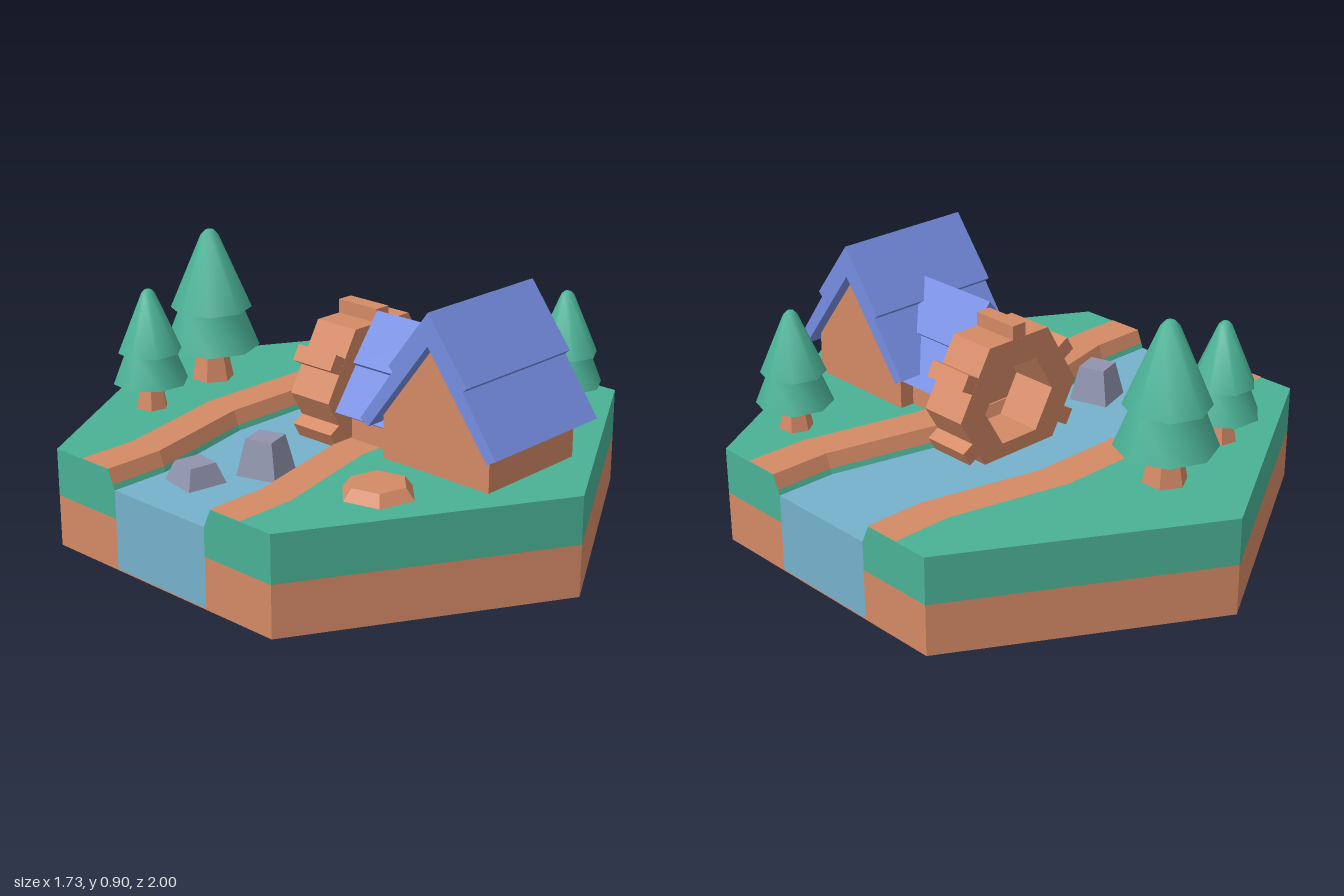
import * as THREE from 'three';
import { toCreasedNormals } from 'three/addons/utils/BufferGeometryUtils.js';

const material = (name, color, side = THREE.FrontSide) => {
  const m = new THREE.MeshStandardMaterial({ color, side });
  m.name = name;
  return m;
};

const GROUND = 0.345, WATER = 0.28, SOIL = 0.18;
const RIVER_X = [-0.866, -0.65, -0.22, 0.22, 0.65, 0.866];
// The river swings towards the back in the middle of the tile
const bend = (x) => (Math.abs(x) < 0.3 ? -0.1 : 0);
const riverEdge = (offset) => RIVER_X.map((x) => [x, offset + bend(x)]);

// Upright prism from a list of [x, z] corners
function slab(corners, y0, y1) {
  const shape = new THREE.Shape(corners.map(([x, z]) => new THREE.Vector2(x, -z)));
  return new THREE.ExtrudeGeometry(shape, { depth: y1 - y0, bevelEnabled: false })
    .rotateX(-Math.PI / 2).translate(0, y0, 0);
}

// Prism from an upright [x, y] outline, centred on z = 0
function prism(outline, depth, hole) {
  const shape = new THREE.Shape(outline.map(([x, y]) => new THREE.Vector2(x, y)));
  if (hole) shape.holes.push(new THREE.Path(hole.map(([x, y]) => new THREE.Vector2(x, y))));
  return new THREE.ExtrudeGeometry(shape, { depth, bevelEnabled: false }).translate(0, 0, -depth / 2);
}

const hexagon = (r) => Array.from({ length: 6 }, (_, i) =>
  [r * Math.cos((i * Math.PI) / 3), r * Math.sin((i * Math.PI) / 3)]);

// Brown river bank: flat path and slope, swept along the river
function bankRibbon(side) {
  const section = [[0.37, GROUND + 0.002], [0.238, GROUND + 0.002], [0.207, WATER - 0.01]];
  const pos = [];
  for (let i = 0; i < RIVER_X.length - 1; i++) {
    for (let j = 0; j < section.length - 1; j++) {
      const p = (a, b) => [RIVER_X[a], section[b][1], side * section[b][0] + bend(RIVER_X[a])];
      const [a, b, c, d] = [p(i, j), p(i + 1, j), p(i + 1, j + 1), p(i, j + 1)];
      const quad = side < 0 ? [a, d, c, a, c, b] : [a, c, d, a, b, c];
      pos.push(...quad.flat());
    }
  }
  const g = new THREE.BufferGeometry();
  g.setAttribute('position', new THREE.Float32BufferAttribute(pos, 3));
  // Turn every triangle upwards
  for (let i = 0; i < pos.length; i += 9) {
    const [A, B, C] = [0, 3, 6].map((k) => new THREE.Vector3(...pos.slice(i + k, i + k + 3)));
    if (B.clone().sub(A).cross(C.clone().sub(A)).y < 0) {
      g.attributes.position.setXYZ(i / 3 + 1, C.x, C.y, C.z);
      g.attributes.position.setXYZ(i / 3 + 2, B.x, B.y, B.z);
    }
  }
  g.computeVertexNormals();
  return g;
}

// Two overlapping boards on each slope; origin at the ridge
function roofGeometry(sx, sy, length) {
  const half = [[0.16, -0.21], [0.143, -0.225], [0.28, -0.415], [0.245, -0.435]];
  const outline = [[0, 0], ...half, [0, -0.11], ...half.map(([x, y]) => [-x, y]).reverse()];
  return prism(outline.map(([x, y]) => [x * sx, y * sy]), length);
}

// Gabled walls; origin at the gable top
function wallGeometry(half, shoulder, height, length) {
  return prism([[0, 0], [half, -shoulder], [half, -height], [-half, -height], [-half, -shoulder]], length);
}

export function createModel() {
  const model = new THREE.Group();
  model.name = 'riversideMill';
  const green = material('leaf green', 0x4ab195);
  const brown = material('earth brown', 0xd48a66);
  const blue = material('roof blue', 0x768de2);
  const water = material('water blue', 0x76b1cd);
  const grey = material('stone grey', 0x9094ad);

  const add = (name, geometry, mat, x = 0, y = 0, z = 0, parent = model) => {
    const mesh = new THREE.Mesh(geometry, mat);
    mesh.name = name;
    mesh.position.set(x, y, z);
    parent.add(mesh);
    return mesh;
  };

  // Hexagonal tile: soil, grass and banks on each side of the river
  const tile = hexagon(1).map(([x, z]) => [z, x]);
  add('tileBase', slab(tile, 0, 0.004), brown);
  add('river', slab([...riverEdge(0.21), ...riverEdge(-0.21).reverse()], 0.004, WATER), water);
  for (const s of [-1, 1]) {
    const land = [...riverEdge(s * 0.21), [0.866, s * 0.5], [0, s], [-0.866, s * 0.5]];
    const prefix = s < 0 ? 'back' : 'front';
    add(prefix + 'Soil', slab(land, 0.004, SOIL), brown);
    add(prefix + 'Grass', slab(land, SOIL, WATER), green);
    // Upper grass leans away from the water
    const upper = slab(land, WATER, GROUND);
    const p = upper.attributes.position;
    for (let i = 0; i < p.count; i++) {
      const z = p.getZ(i);
      if (p.getY(i) > 0.3 && Math.abs(z - bend(p.getX(i)) - s * 0.21) < 1e-4) p.setZ(i, z + s * 0.03);
    }
    upper.computeVertexNormals();
    add(prefix + 'UpperGrass', upper, green);
    add(prefix + 'Bank', bankRibbon(s), brown);
  }

  // House with a wing reaching to the water
  const house = new THREE.Group();
  house.name = 'house';
  model.add(house);
  add('mainWalls', wallGeometry(0.22, 0.292, 0.45, 0.43).rotateY(Math.PI / 2), brown, 0.025, 0.787, 0.555, house);
  add('mainRoof', roofGeometry(1, 1, 0.52).rotateY(Math.PI / 2), blue, 0.025, 0.895, 0.555, house);
  add('wingWalls', wallGeometry(0.16, 0.222, 0.34, 0.3), brown, 0.025, 0.667, 0.295, house);
  add('wingRoof', roofGeometry(0.732, 0.74, 0.36), blue, 0.025, 0.75, 0.29, house);

  // Water wheel: hexagonal ring with a paddle on each side
  const wheel = new THREE.Group();
  wheel.name = 'waterWheel';
  wheel.position.set(0.08, 0.465, -0.003);
  model.add(wheel);
  add('wheelRing', prism(hexagon(0.265), 0.175, hexagon(0.155)), brown, 0, 0, 0, wheel);
  for (let i = 0; i < 6; i++) {
    const a = ((i + 0.5) * Math.PI) / 3;
    const paddle = add('paddle', new THREE.BoxGeometry(0.068, 0.058, 0.174), brown,
      0.244 * Math.cos(a), 0.244 * Math.sin(a), 0, wheel);
    paddle.rotation.z = a;
  }

  // Trees: tapered trunk and two leafy tiers
  const leaves = [[0, 0.095], [0.132, 0.095], [0.088, 0.205], [0.112, 0.205], [0.024, 0.412], [0.012, 0.424], [0, 0.425]];
  const crown = toCreasedNormals(
    new THREE.LatheGeometry(leaves.map(([x, y]) => new THREE.Vector2(x, y)), 8), 0.85);
  const trunk = toCreasedNormals(new THREE.CylinderGeometry(0.038, 0.06, 0.11, 6).translate(0, 0.05, 0), 0.5);
  for (const [x, z, size, turn] of [[-0.02, -0.66, 1.306, 0], [-0.38, -0.585, 1, 0.3], [0.59, 0.475, 1, 0.1]]) {
    const tree = new THREE.Group();
    tree.name = 'tree';
    tree.position.set(x, GROUND, z);
    tree.scale.setScalar(size);
    tree.rotation.y = turn;
    model.add(tree);
    add('trunk', trunk, brown, 0, 0, 0, tree);
    add('leaves', crown, green, 0, 0, 0, tree);
  }

  // Square-topped stones in the river
  for (const [x, z, height, turn] of [[-0.635, -0.08, 0.068, -0.17], [-0.425, 0.03, 0.125, 0.3]]) {
    const g = new THREE.CylinderGeometry(0.068, 0.102, height, 4).rotateY(Math.PI / 4);
    add('stone', toCreasedNormals(g, 0.3), grey, x, WATER + height / 2, z).rotation.y = turn;
  }

  // Low mound of earth beside the house
  const mound = toCreasedNormals(new THREE.CylinderGeometry(0.097, 0.127, 0.038, 6), 0.3);
  add('mound', mound, brown, -0.42, GROUND + 0.019, 0.523).rotation.y = 0.25;

  return model;
}
